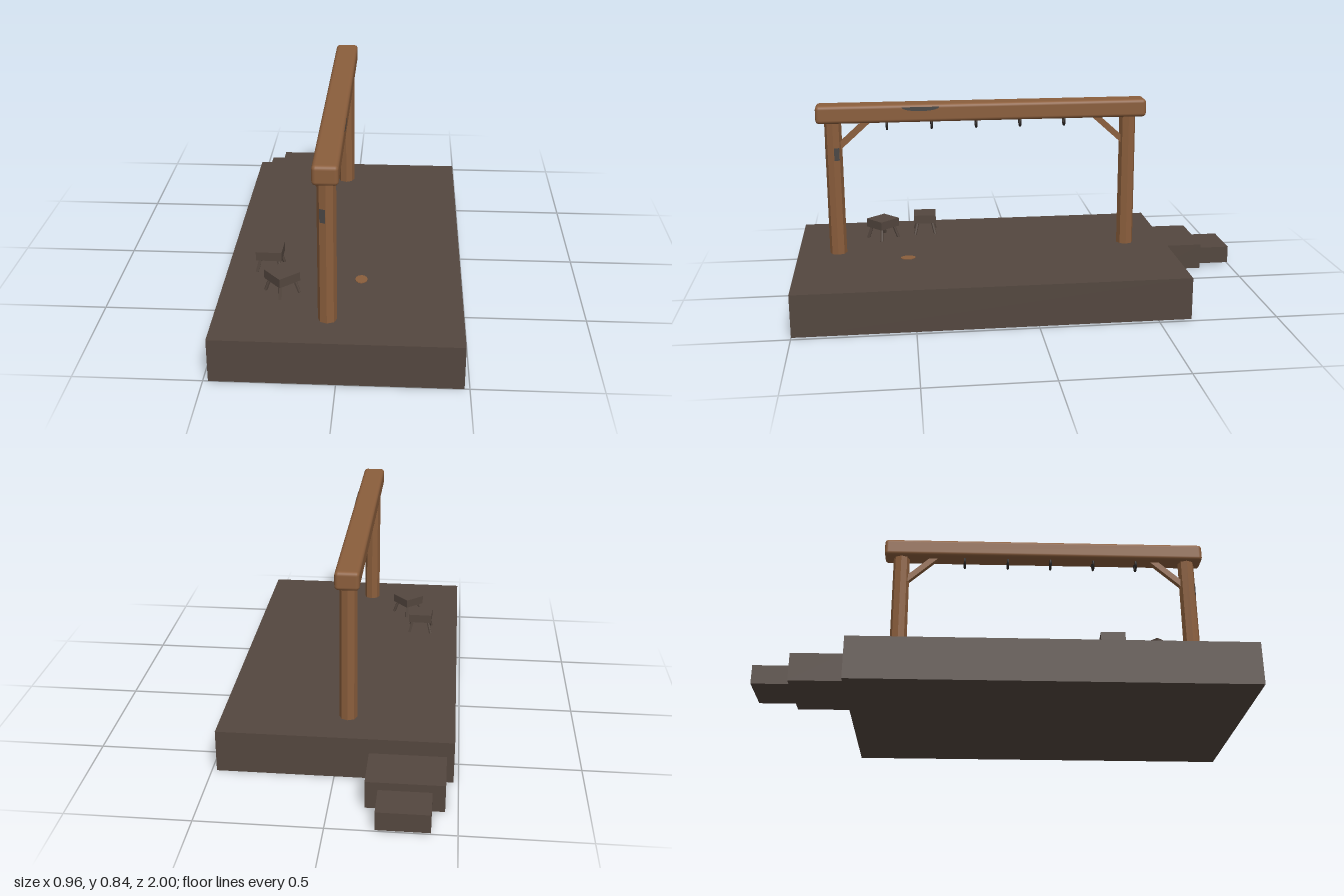
import * as THREE from 'three';
import { RoundedBoxGeometry } from 'three/addons/geometries/RoundedBoxGeometry.js';

const mat = (name, color, extra = {}) => {
  const m = new THREE.MeshStandardMaterial({ color, ...extra });
  m.name = name;
  return m;
};

export function createModel() {
  const model = new THREE.Group();
  model.name = 'hangingFrame';
  const stone = mat('dark weathered wood', 0x54473f, { flatShading: true });
  const timber = mat('brown timber', 0x8b5e3c, { flatShading: true });
  const beamWood = mat('brown beam timber', 0x8b5e3c);
  const iron = mat('dark iron', 0x2e2a28);
  const grey = mat('grey patch', 0x4b4846, { side: THREE.DoubleSide });

  const add = (parent, name, geo, material, x = 0, y = 0, z = 0) => {
    const mesh = new THREE.Mesh(geo, material);
    mesh.name = name;
    mesh.position.set(x, y, z);
    parent.add(mesh);
    return mesh;
  };
  // Box given by its min and max corners
  const block = (name, [x0, y0, z0], [x1, y1, z1], material) =>
    add(model, name, new THREE.BoxGeometry(x1 - x0, y1 - y0, z1 - z0), material,
      (x0 + x1) / 2, (y0 + y1) / 2, (z0 + z1) / 2);
  // Orients a geometry that is long in y so that it joins two points
  const join = (parent, name, makeGeo, a, b, material) => {
    const d = b.clone().sub(a);
    const mesh = add(parent, name, makeGeo(d.length()), material);
    mesh.position.copy(a).add(b).multiplyScalar(0.5);
    mesh.quaternion.setFromUnitVectors(new THREE.Vector3(0, 1, 0), d.normalize());
    return mesh;
  };
  const V = (x, y, z) => new THREE.Vector3(x, y, z);

  // Platform with two steps at the back
  block('platform', [-0.48, 0, -0.64], [0.48, 0.18, 1], stone);
  block('upperStep', [-0.45, 0, -0.85], [-0.14, 0.116, -0.64], stone);
  block('lowerStep', [-0.4, 0.005, -1], [-0.19, 0.083, -0.85], stone);

  // Octagonal posts, each with a diagonal brace under the beam
  const cx = -0.041;
  for (const [label, z, dir] of [['front', 0.825, -1], ['back', -0.46, 1]]) {
    add(model, label + 'Post', new THREE.CylinderGeometry(0.036, 0.037, 0.61, 8), timber, cx, 0.475, z);
    join(model, label + 'Brace', (len) => new THREE.BoxGeometry(0.026, len, 0.026),
      V(cx, 0.655, z + dir * 0.02), V(cx, 0.785, z + dir * 0.165), timber);
  }

  // Cross beam with softened edges
  add(model, 'crossBeam', new RoundedBoxGeometry(0.098, 0.078, 1.43, 3, 0.016), beamWood, cx, 0.804, 0.18);

  // Iron rings below the beam
  for (const z of [0.595, 0.403, 0.21, 0.018, -0.176]) {
    add(model, 'ring', new THREE.TorusGeometry(0.022, 0.005, 8, 20), iron, cx, 0.752, z);
  }

  // Grey worn patches on the front post and beam
  for (const angle of [-Math.PI / 8, Math.PI * 5 / 8]) {
    const r = 0.0348;
    const patch = add(model, 'postPatch', new THREE.PlaneGeometry(0.024, 0.055), grey,
      cx + Math.sin(angle) * r, 0.63, 0.825 + Math.cos(angle) * r);
    patch.rotation.y = angle;
  }
  const lens = new THREE.CircleGeometry(1, 24, Math.PI, Math.PI);
  lens.scale(0.08, 0.018, 1);
  add(model, 'beamPatch', lens, grey, 0.0085, 0.832, 0.45).rotation.y = Math.PI / 2;

  // Small round spot on the platform floor
  const spot = add(model, 'floorSpot', new THREE.CylinderGeometry(1, 1, 0.003, 12), timber, 0.075, 0.181, 0.522);
  spot.scale.set(0.025, 1, 0.032);

  // Low stools with splayed legs
  for (const [x, z, turn] of [[-0.305, 0.435, -0.03], [-0.235, 0.63, -0.85]]) {
    const stool = new THREE.Group();
    stool.name = 'stool';
    stool.position.set(x, 0.18, z);
    stool.rotation.y = turn;
    add(stool, 'stoolSeat', new THREE.BoxGeometry(0.106, 0.038, 0.1), stone, 0, 0.073, 0);
    for (const sx of [-1, 1]) for (const sz of [-1, 1]) {
      join(stool, 'stoolLeg', (len) => new THREE.CylinderGeometry(0.007, 0.007, len, 6),
        V(sx * 0.05, 0, sz * 0.047), V(sx * 0.035, 0.058, sz * 0.033), stone);
    }
    model.add(stool);
  }
  return model;
}
